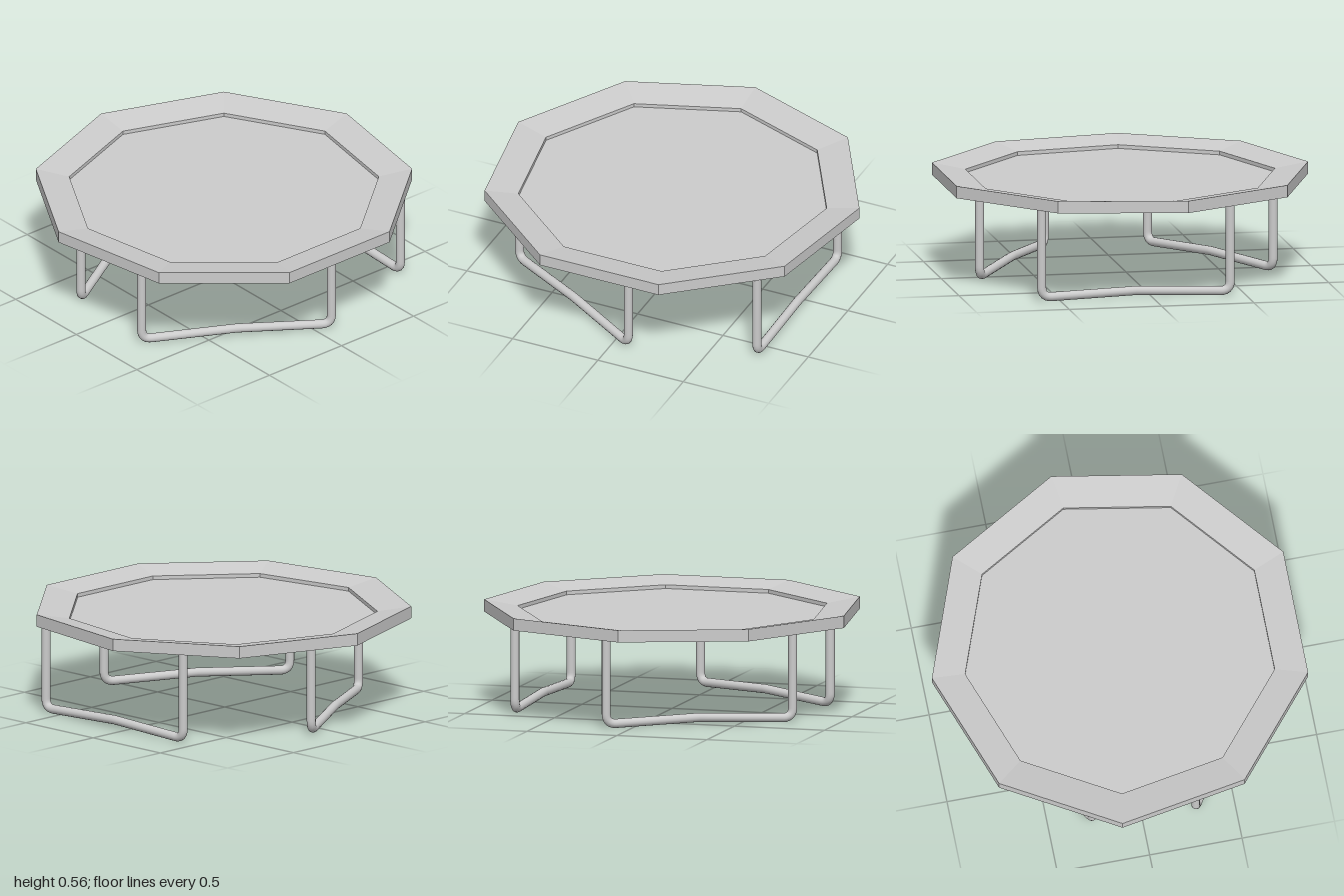
import * as THREE from 'three';

const SIDES = 9, CENTRE_X = 0.03;
const OUTER = 1.015, INNER = 0.835;
const UNDERSIDE = 0.5, TUBE = 0.024;

const material = new THREE.MeshStandardMaterial({ color: 0xcccccc });
const flat = new THREE.MeshStandardMaterial({ color: 0xcccccc, flatShading: true });

// Nine-sided turned solid, one corner pointing to -x
function nonagon(name, profile) {
  const points = profile.map(([r, y]) => new THREE.Vector2(r, y));
  const geometry = new THREE.LatheGeometry(points, SIDES, -Math.PI / 2).toNonIndexed();
  geometry.computeVertexNormals();
  const mesh = new THREE.Mesh(geometry, flat);
  mesh.name = name;
  mesh.position.x = CENTRE_X;
  return mesh;
}

// Bent-tube leg frame between two floor points, its foot bar raised at the middle
function legFrame(name, [ax, az], [bx, bz]) {
  const length = Math.hypot(bx - ax, bz - az);
  const low = TUBE, mid = 0.043, bend = 0.055;
  const at = (d, y) => new THREE.Vector3(
    ax + (bx - ax) * d / length, y, az + (bz - az) * d / length);
  const barY = low + (mid - low) * bend / (length / 2);
  const p = [
    at(0, UNDERSIDE + 0.005), at(0, low + bend), at(bend, barY), at(length / 2, mid),
    at(length - bend, barY), at(length, low + bend), at(length, UNDERSIDE + 0.005),
  ];
  const path = new THREE.CurvePath();
  path.add(new THREE.LineCurve3(p[0], p[1]));
  path.add(new THREE.QuadraticBezierCurve3(p[1], at(0, low), p[2]));
  path.add(new THREE.LineCurve3(p[2], p[3]));
  path.add(new THREE.LineCurve3(p[3], p[4]));
  path.add(new THREE.QuadraticBezierCurve3(p[4], at(length, low), p[5]));
  path.add(new THREE.LineCurve3(p[5], p[6]));
  const mesh = new THREE.Mesh(new THREE.TubeGeometry(path, 140, TUBE, 14, false), material);
  mesh.name = name;
  return mesh;
}

export function createModel() {
  const table = new THREE.Group();
  table.name = 'coffeeTable';

  // Rim slopes down towards the recessed panel
  table.add(nonagon('tabletopRim', [
    [0, UNDERSIDE], [OUTER, UNDERSIDE], [OUTER, 0.565], [INNER, 0.535], [INNER, 0.515],
  ]));
  table.add(nonagon('tabletopPanel', [[INNER, 0.515], [0, 0.515]]));

  // Three leg frames around the centre
  table.add(legFrame('backLegFrame', [-0.42, -0.745], [0.60, -0.745]));
  table.add(legFrame('leftLegFrame', [0.81, -0.09], [0.29, 0.79]));
  table.add(legFrame('rightLegFrame', [-0.26, 0.75], [-0.77, -0.13]));
  return table;
}
